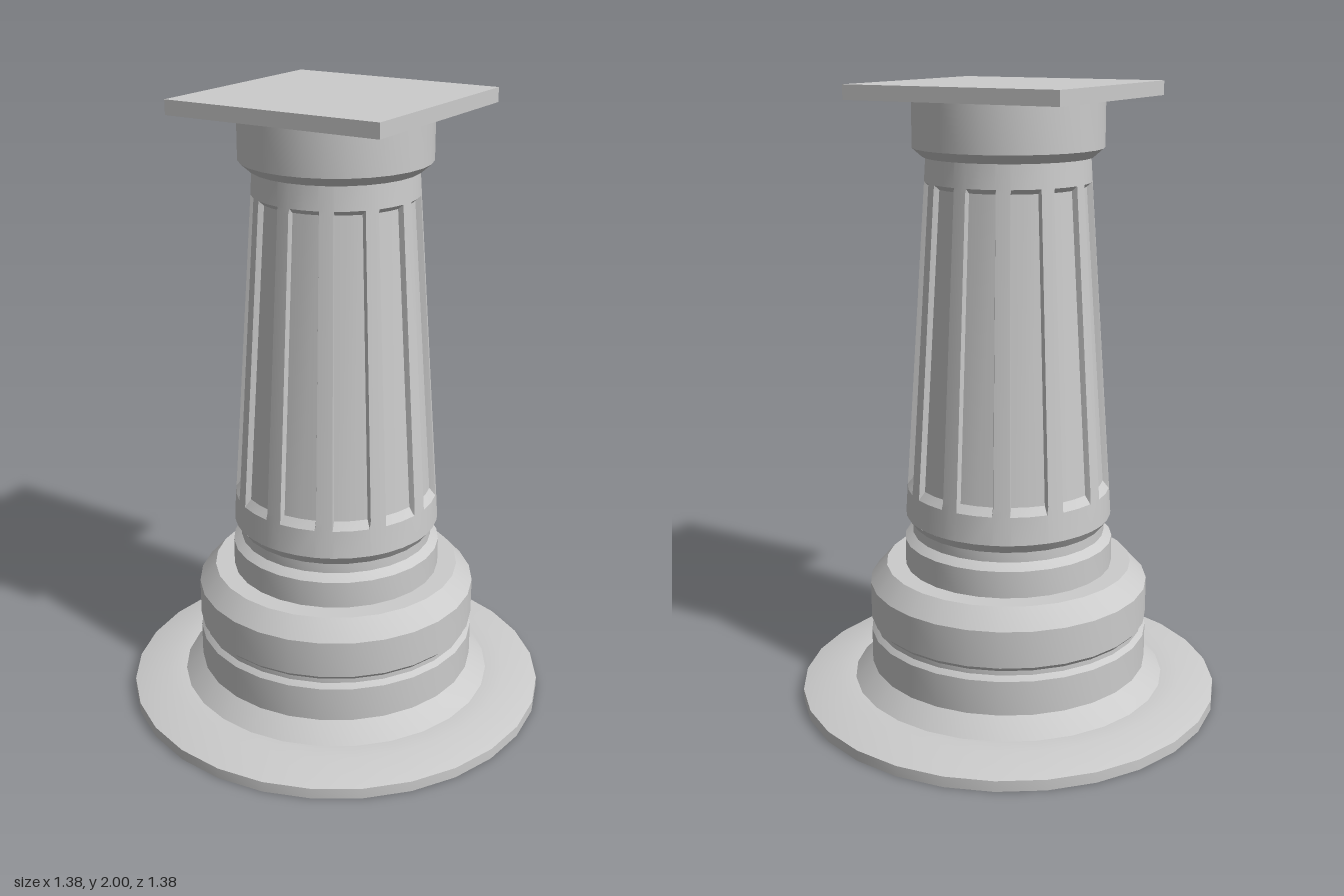
import * as THREE from 'three';
import { toCreasedNormals } from 'three/addons/utils/BufferGeometryUtils.js';

const material = new THREE.MeshStandardMaterial({ color: 0xcccccc });
const SIDES = 28;

function addMesh(group, name, geometry) {
  const mesh = new THREE.Mesh(geometry, material);
  mesh.name = name;
  group.add(mesh);
  return mesh;
}

// Round moulding turned from [radius, height] pairs, listed bottom to top
function turned(profile) {
  const points = profile.map(([r, y]) => new THREE.Vector2(r, y));
  return toCreasedNormals(new THREE.LatheGeometry(points, SIDES), 0.42);
}

// Tapered shaft with shallow flutes sunk between plain collars
function flutedShaft() {
  const flutes = 12, pitch = 30, depth = 0.018;
  // [angle within one flute pitch, 1 where the surface is sunk]
  const section = [[0, 0], [0.7, 1], [10.5, 1], [20.3, 1], [21, 0], [25.5, 0]];
  // [height, radius, 1 where the flutes are cut]
  const rows = [
    [0.63, 0.335, 0], [0.72, 0.329, 0], [0.745, 0.327, 1],
    [1.69, 0.261, 1], [1.705, 0.26, 0], [1.78, 0.255, 0],
  ];
  const positions = [], index = [];
  const columns = flutes * section.length;
  for (const [y, radius, cut] of rows) {
    for (let f = 0; f < flutes; f++) {
      for (const [offset, sunk] of section) {
        const a = THREE.MathUtils.degToRad(f * pitch + offset);
        const r = radius - depth * sunk * cut;
        positions.push(r * Math.sin(a), y, r * Math.cos(a));
      }
    }
  }
  for (let i = 0; i < rows.length - 1; i++) {
    for (let j = 0; j < columns; j++) {
      const k = (j + 1) % columns;
      const a = i * columns + j, b = i * columns + k;
      index.push(a, b, b + columns, a, b + columns, a + columns);
    }
  }
  const geometry = new THREE.BufferGeometry();
  geometry.setAttribute('position', new THREE.Float32BufferAttribute(positions, 3));
  geometry.setIndex(index);
  return toCreasedNormals(geometry, 0.42);
}

export function createModel() {
  const pedestal = new THREE.Group();
  pedestal.name = 'pedestal';

  // Wide foot disc with a flared neck
  addMesh(pedestal, 'foot', turned([
    [0, 0], [0.69, 0], [0.69, 0.035], [0.575, 0.065], [0.515, 0.065], [0.457, 0.122],
  ]));

  // Drum with a shallow waist groove and chamfered shoulder
  addMesh(pedestal, 'drum', turned([
    [0.457, 0.122], [0.457, 0.235], [0.443, 0.25], [0.443, 0.265],
    [0.457, 0.28], [0.457, 0.4], [0.403, 0.46], [0.34, 0.46],
  ]));

  // Collar and groove under the shaft
  addMesh(pedestal, 'collar', turned([
    [0.34, 0.46], [0.34, 0.547], [0.314, 0.568], [0.314, 0.6], [0.335, 0.63],
  ]));

  addMesh(pedestal, 'flutedShaft', flutedShaft());

  // Round capital
  addMesh(pedestal, 'capital', turned([
    [0.255, 1.78], [0.265, 1.78], [0.297, 1.808], [0.297, 1.955],
  ]));

  // Square top slab
  addMesh(pedestal, 'topSlab', new THREE.BoxGeometry(0.717, 0.045, 0.717))
    .position.y = 1.9775;

  return pedestal;
}
